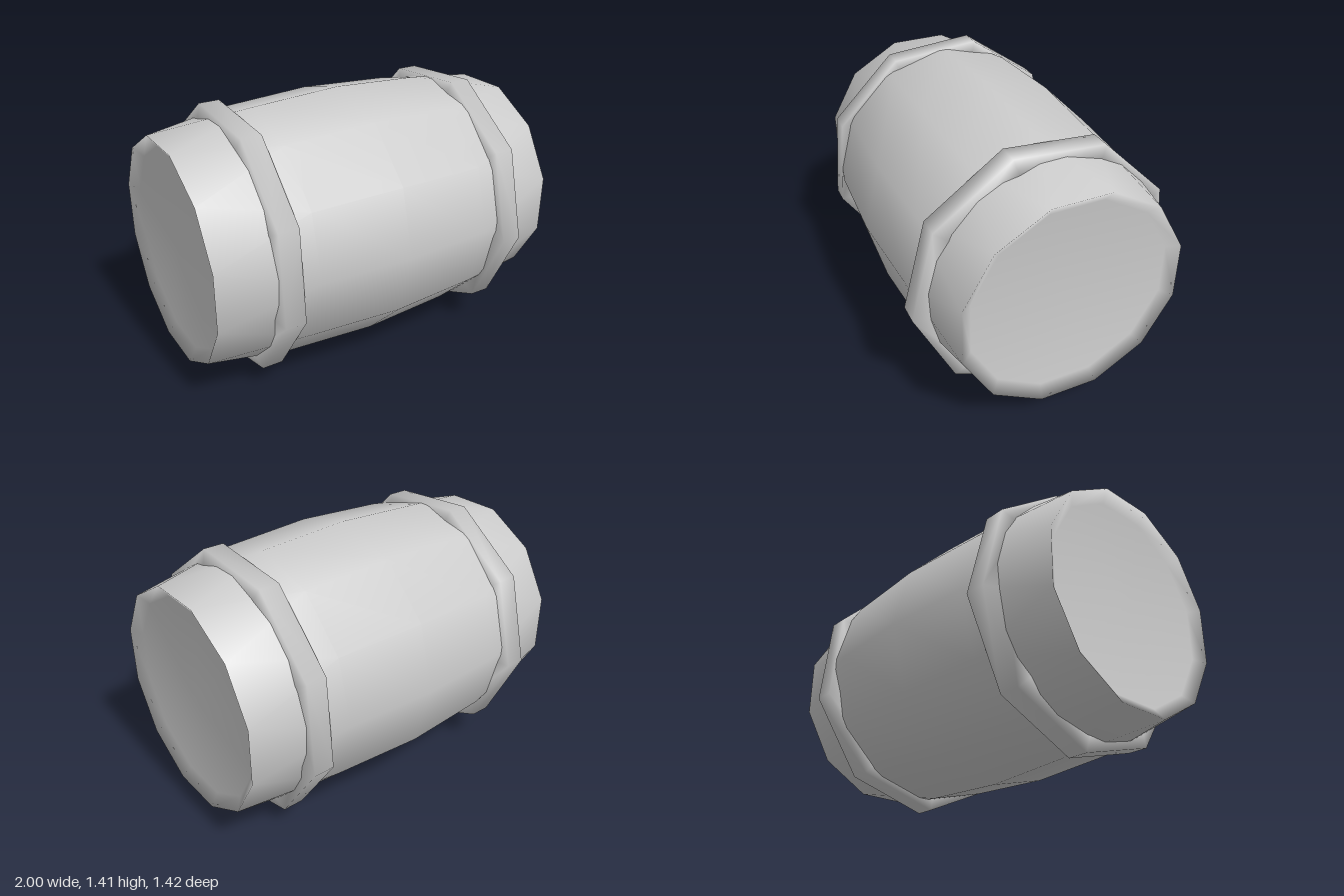
import * as THREE from 'three';

// Joins rings around the x axis, listed from -x to +x. Each ring: { x, r, turn }.
function loft(rings, sides, flip = 1, closed = false) {
  const pos = [], idx = [];
  for (const { x, r, turn = 0 } of rings) {
    for (let i = 0; i < sides; i++) {
      const a = turn + (i / sides) * Math.PI * 2;
      pos.push(x, Math.sin(a) * r, Math.cos(a) * r * flip);
    }
  }
  const n = rings.length;
  for (let k = 0; k < (closed ? n : n - 1); k++) {
    for (let i = 0; i < sides; i++) {
      const j = (i + 1) % sides, m = (k + 1) % n;
      const a = k * sides + i, b = k * sides + j, c = m * sides + i, d = m * sides + j;
      if (flip > 0) idx.push(a, c, b, b, c, d);
      else idx.push(a, b, c, b, d, c);
    }
  }
  // Flat lids over the first and last rings
  if (!closed) {
    const first = pos.length / 3, last = first + 1, o = (n - 1) * sides;
    pos.push(rings[0].x, 0, 0, rings[n - 1].x, 0, 0);
    for (let i = 0; i < sides; i++) {
      const j = (i + 1) % sides;
      idx.push(first, i, j, last, o + j, o + i);
    }
  }
  const geo = new THREE.BufferGeometry();
  geo.setAttribute('position', new THREE.Float32BufferAttribute(pos, 3));
  geo.setIndex(idx);
  geo.computeVertexNormals();
  return geo;
}

export function createModel() {
  const group = new THREE.Group();
  group.name = 'barrel';
  const material = new THREE.MeshStandardMaterial({ color: 0xcccccc });

  const add = (name, geo, y, z) => {
    const mesh = new THREE.Mesh(geo, material);
    mesh.name = name;
    mesh.position.set(0, y, z);
    group.add(mesh);
  };

  // Bulging body; the rims are turned half a side and the lids slightly sunk
  const turn = Math.PI / 12;
  add('body', loft([
    { x: -0.955, r: 0.535, turn: -turn },
    { x: -1, r: 0.597, turn: -turn },
    { x: -0.5, r: 0.675 },
    { x: 0, r: 0.702 },
    { x: 0.5, r: 0.675 },
    { x: 1, r: 0.597, turn },
    { x: 0.955, r: 0.535, turn },
  ], 12), 0.714, 0);

  // Nine-sided hoops, mirrored front to back
  const hoopTurn = THREE.MathUtils.degToRad(-5.6);
  for (const [name, x, flip] of [['leftHoop', 0.663, 1], ['rightHoop', -0.645, -1]]) {
    const ring = (dx, r) => ({ x: x + dx, r, turn: hoopTurn });
    add(name, loft([
      ring(-0.085, 0.6), ring(-0.055, 0.708), ring(0.055, 0.708), ring(0.085, 0.6),
    ], 9, flip, true), 0.708, flip * 0.007);
  }
  return group;
}
